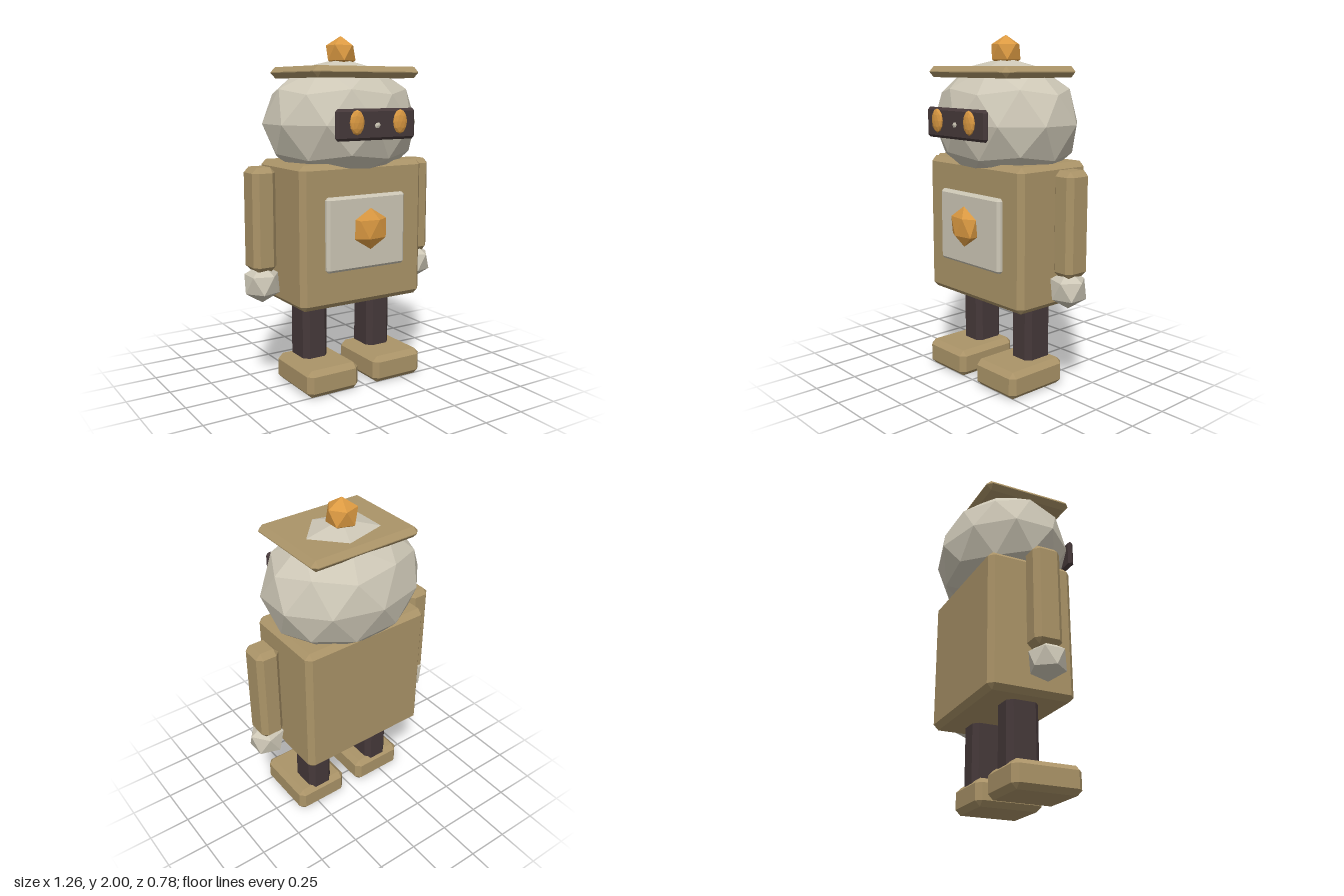
import * as THREE from 'three';
import { ConvexGeometry } from 'three/addons/geometries/ConvexGeometry.js';

const material = (name, color) => {
  const m = new THREE.MeshStandardMaterial({ color, flatShading: true });
  m.name = name;
  return m;
};

// Box with single-step chamfered edges, given by its limits on each axis
function chamferBox([x0, x1], [y0, y1], [z0, z1], c) {
  const half = [(x1 - x0) / 2, (y1 - y0) / 2, (z1 - z0) / 2];
  const points = [];
  for (const sx of [-1, 1]) for (const sy of [-1, 1]) for (const sz of [-1, 1]) {
    for (let axis = 0; axis < 3; axis++) {
      const p = half.map((h, i) => (i === axis ? h : h - c));
      points.push(new THREE.Vector3(p[0] * sx, p[1] * sy, p[2] * sz));
    }
  }
  const g = new ConvexGeometry(points);
  g.translate((x0 + x1) / 2, (y0 + y1) / 2, (z0 + z1) / 2);
  return g;
}

// Faceted ball with corners at its poles, stretched by a radius per axis
function facetBall([x, y, z], [rx, ry, rz], detail = 0) {
  const verts = [0, 1, 0];
  const faces = [];
  const h = 1 / Math.sqrt(5), r = 2 * h;
  for (const [y0, turn] of [[h, 0], [-h, Math.PI / 5]]) {
    for (let i = 0; i < 5; i++) {
      const a = i * Math.PI * 0.4 + turn;
      verts.push(r * Math.cos(a), y0, -r * Math.sin(a));
    }
  }
  verts.push(0, -1, 0);
  for (let i = 0; i < 5; i++) {
    const j = (i + 1) % 5;
    const u = 1 + i, un = 1 + j, l = 6 + i, ln = 6 + j;
    faces.push(0, u, un, u, l, un, l, ln, un, 11, ln, l);
  }
  const g = new THREE.PolyhedronGeometry(verts, faces, 1, detail);
  g.scale(rx, ry, rz);
  g.translate(x, y, z);
  g.computeVertexNormals();
  return g;
}

export function createModel() {
  const tan = material('tan', 0xab9468);
  const grey = material('warm grey', 0xcdc7b6);
  const dark = material('dark brown', 0x46393a);
  const orange = material('orange', 0xdc9a42);

  const model = new THREE.Group();
  model.name = 'robot';
  const add = (name, geometry, mat) => {
    const mesh = new THREE.Mesh(geometry, mat);
    mesh.name = name;
    model.add(mesh);
  };

  // Torso with chest plate and gem
  add('body', chamferBox([-0.405, 0.405], [0.49, 1.3], [-0.27, 0.24], 0.03), tan);
  add('chestPlate', chamferBox([-0.26, 0.26], [0.7, 1.12], [0.2, 0.27], 0.015), grey);
  add('chestGem', facetBall([0, 0.935, 0.3], [0.117, 0.117, 0.048]), orange);

  // Head with visor; the front corner pokes through the visor
  add('head', facetBall([0, 1.51, -0.013], [0.473, 0.365, 0.378], 1), grey);
  add('visor', chamferBox([-0.257, 0.257], [1.43, 1.6], [0.325, 0.36], 0.015), dark);

  // Hat brim and knob
  add('hatBrim', chamferBox([-0.343, 0.343], [1.763, 1.826], [-0.255, 0.292], 0.029), tan);
  add('hatKnob', facetBall([0, 1.905, -0.015], [0.095, 0.095, 0.095]), orange);

  // Paired parts
  for (const [side, s] of [['left', 1], ['right', -1]]) {
    const span = (a, b) => (s > 0 ? [a, b] : [-b, -a]);
    add(side + 'Eye', facetBall([s * 0.14, 1.528, 0.372], [0.046, 0.067, 0.018], 1), orange);
    add(side + 'Arm', chamferBox(span(0.458, 0.598), [0.7, 1.282], [-0.095, 0.068], 0.03), tan);
    add(side + 'Hand', facetBall([s * 0.53, 0.63, 0], [0.112, 0.112, 0.11]), grey);
    add(side + 'Leg', chamferBox(span(0.14, 0.3), [0.1, 0.54], [-0.11, 0.08], 0.03), dark);
    add(side + 'Foot', chamferBox(span(0.053, 0.386), [0, 0.157], [-0.125, 0.28], 0.03), tan);
  }
  return model;
}
